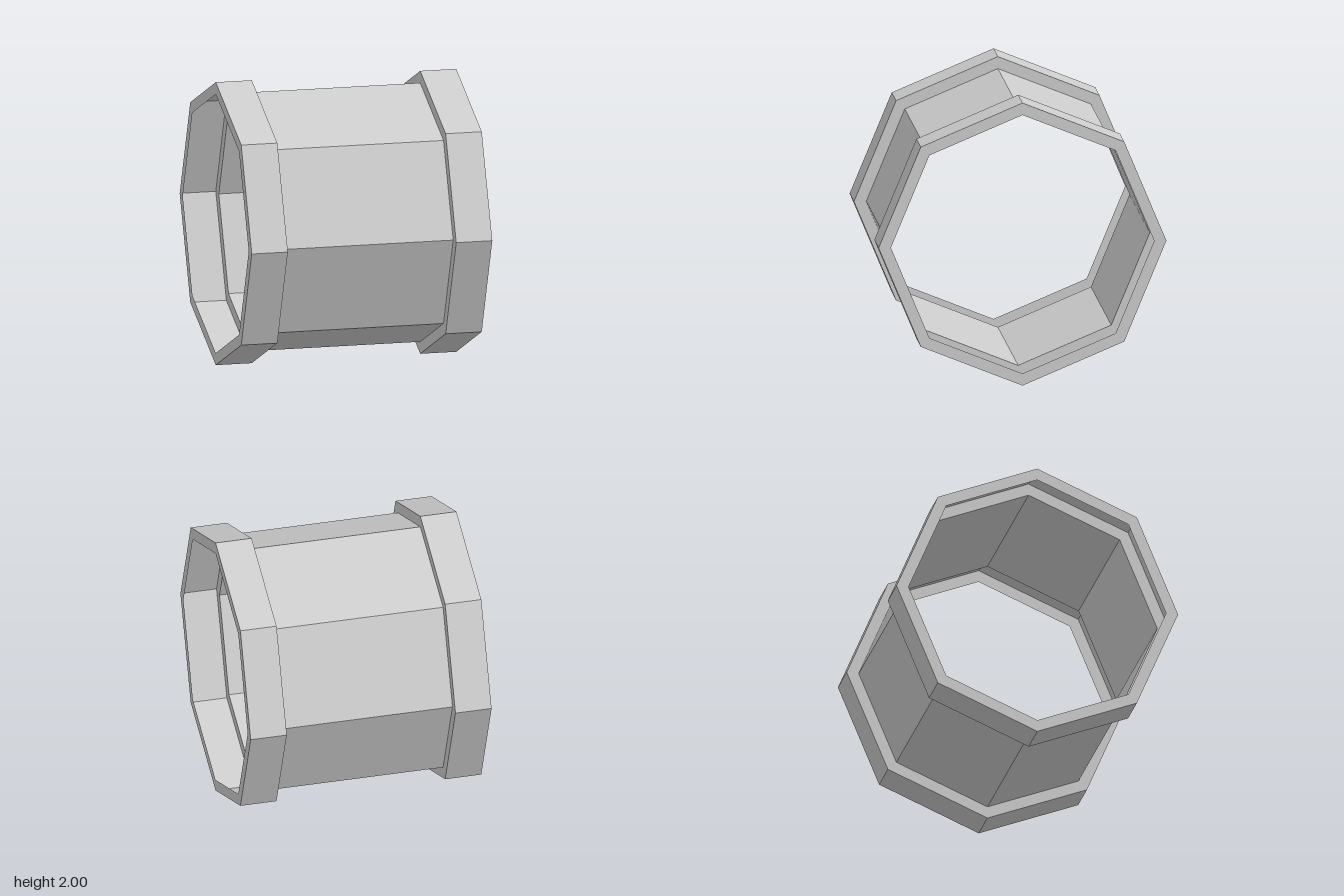
import * as THREE from 'three';

const SIDES = 8;
const OUTER = 1;       // collar corner radius
const INNER = 0.915;   // barrel corner radius
const END = 0.857;     // half length overall
const STEP = 0.6;      // where barrel meets collar

// Thin octagonal shell turned about the x axis from [radius, x] points
function octagonShell(name, profile, material) {
  const points = profile.map(([r, x]) => new THREE.Vector2(r, x));
  const geometry = new THREE.LatheGeometry(points, SIDES).toNonIndexed();
  geometry.rotateZ(-Math.PI / 2);
  geometry.computeVertexNormals();
  const mesh = new THREE.Mesh(geometry, material);
  mesh.name = name;
  return mesh;
}

export function createModel() {
  const group = new THREE.Group();
  group.name = 'flangedPipe';

  const grey = new THREE.MeshStandardMaterial({
    color: 0xcccccc, flatShading: true, side: THREE.DoubleSide,
  });
  grey.name = 'light grey';

  // Open barrel between the collars
  group.add(octagonShell('barrel', [[INNER, -STEP], [INNER, STEP]], grey));

  // Raised collars: two rim rings and an outer wall, open on the inside
  for (const [name, from, to] of [['leftCollar', STEP, END], ['rightCollar', -END, -STEP]]) {
    group.add(octagonShell(name, [[INNER, from], [OUTER, from], [OUTER, to], [INNER, to]], grey));
  }

  group.position.y = OUTER;
  const root = new THREE.Group();
  root.name = 'model';
  root.add(group);
  return root;
}
